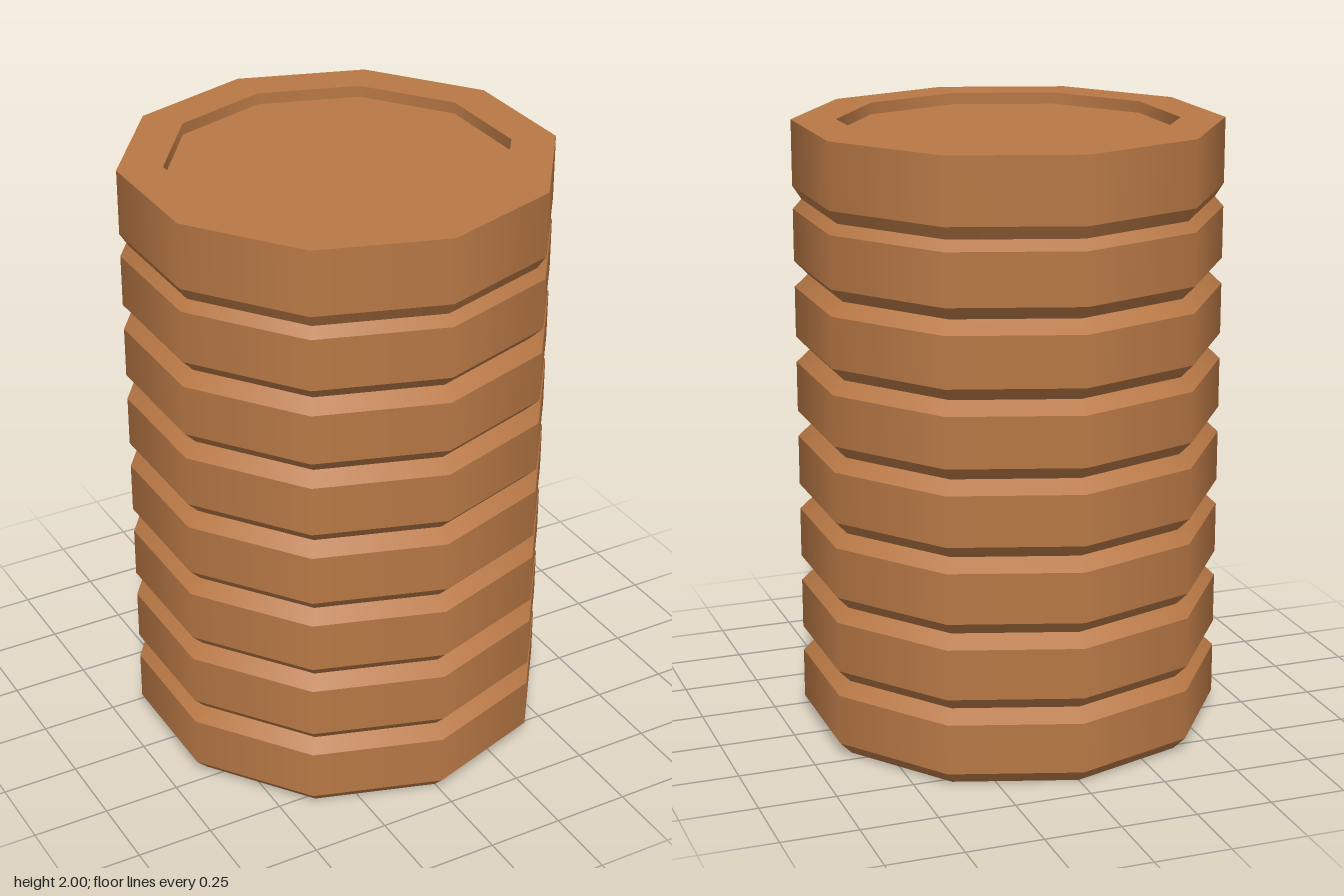
import * as THREE from 'three';
import { mergeGeometries } from 'three/addons/utils/BufferGeometryUtils.js';

const SIDES = 10;
const R = 0.688;       // outer radius
const GROOVE = 0.645;  // radius at the bottom of a groove
const INNER = 0.545;   // radius of the recess in the top
const FLOOR = 1.962;   // height of the recess floor

// Revolves each profile span on its own: smooth around, sharp between spans
function revolve(profile) {
  const pts = profile.map(([r, y]) => new THREE.Vector2(r, y));
  const bands = [];
  for (let i = 0; i < pts.length - 1; i++) {
    bands.push(new THREE.LatheGeometry([pts[i], pts[i + 1]], SIDES));
  }
  return mergeGeometries(bands);
}

export function createModel() {
  const group = new THREE.Group();
  group.name = 'ribbedColumn';
  const clay = new THREE.MeshStandardMaterial({ color: 0xb87845 });
  clay.name = 'warm brown';

  const add = (name, profile) => {
    const mesh = new THREE.Mesh(revolve(profile), clay);
    mesh.name = name;
    group.add(mesh);
  };

  // Flat underside
  add('base', [[0, 0], [GROOVE, 0]]);

  // Seven bevelled ribs; the last groove is a little shallower
  for (let i = 0; i < 7; i++) {
    const y = i * 0.25;
    const last = i === 6;
    add('rib' + (i + 1), [
      [GROOVE, y], [R, y + 0.044], [R, y + (last ? 0.213 : 0.209)],
      last ? [0.66, 1.745] : [GROOVE, y + 0.25],
    ]);
  }

  // Top rib with square edge, flat rim and the wall of the recess
  add('topRib', [[0.66, 1.745], [R, 1.788], [R, 2]]);
  add('rim', [[R, 2], [INNER, 2], [INNER, FLOOR]]);
  add('topPanel', [[INNER, FLOOR], [0, FLOOR]]);

  return group;
}
